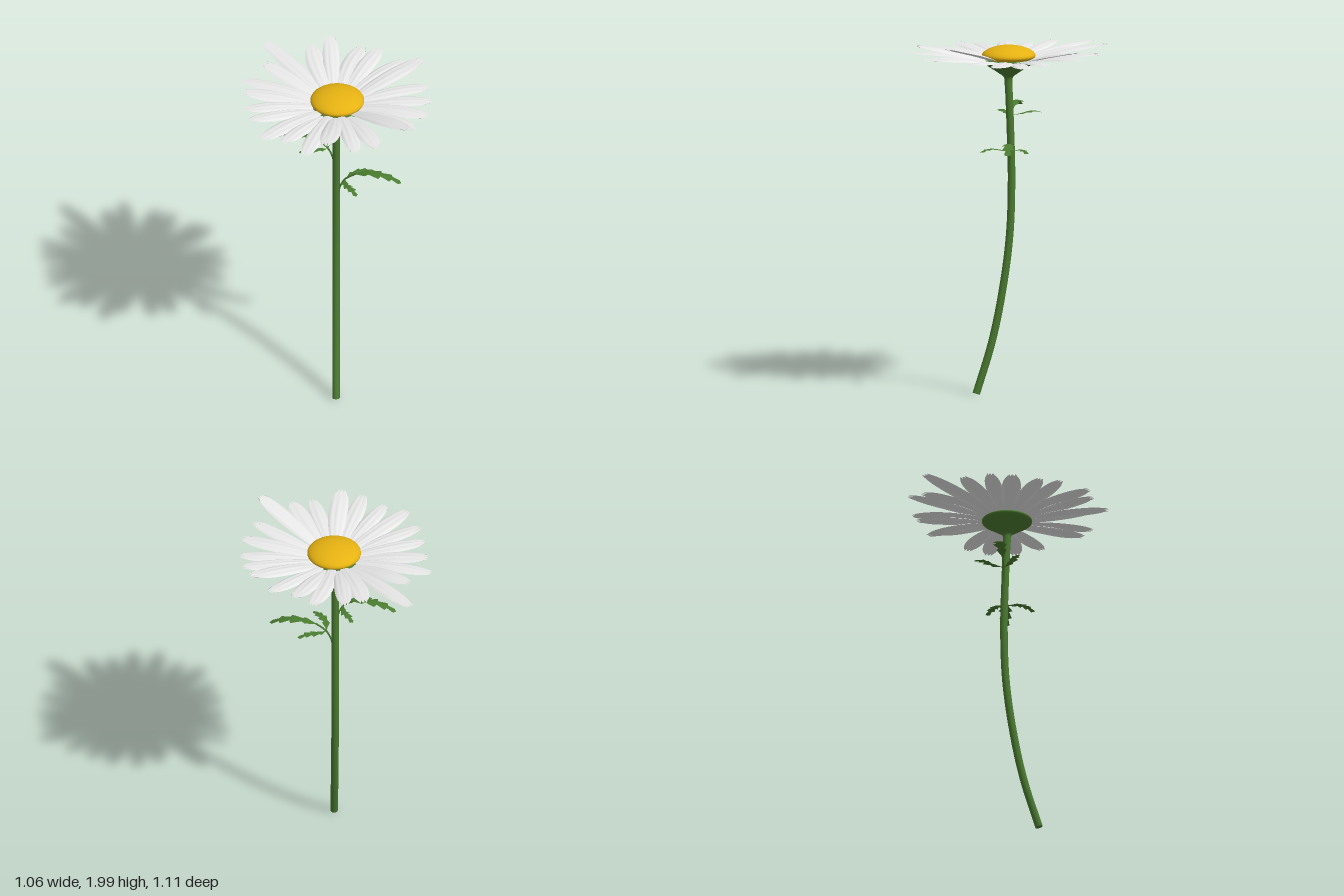
import * as THREE from 'three';

const V = (x, y, z) => new THREE.Vector3(x, y, z);
const flat = (name, color, side = THREE.FrontSide) => {
  const m = new THREE.MeshStandardMaterial({ color, side });
  m.name = name;
  return m;
};

// Smooth grid surface: at(u, v) returns a point, u along 0..1, v across -1..1
function sheet(rows, cols, at) {
  const pos = [], index = [];
  for (let i = 0; i <= rows; i++)
    for (let j = 0; j <= cols; j++) pos.push(...at(i / rows, (j / cols) * 2 - 1, i, j).toArray());
  for (let i = 0; i < rows; i++)
    for (let j = 0; j < cols; j++) {
      const a = i * (cols + 1) + j, b = a + cols + 1;
      index.push(a, a + 1, b, b, a + 1, b + 1);
    }
  const g = new THREE.BufferGeometry();
  g.setAttribute('position', new THREE.Float32BufferAttribute(pos, 3));
  g.setIndex(index);
  g.computeVertexNormals();
  return g;
}

// Tip of each petal: x, z, height
const TIPS = [
  [-0.40, -0.535, 1.915], [-0.14, -0.495, 1.92], [-0.035, -0.555, 1.945], [0.145, -0.495, 1.91],
  [0.245, -0.45, 1.93], [0.38, -0.36, 1.91], [0.48, -0.29, 1.968], [0.52, -0.11, 1.905],
  [0.53, 0.01, 1.893], [0.51, 0.165, 1.90], [0.44, 0.30, 1.91], [0.405, 0.43, 1.995],
  [0.225, 0.49, 1.91], [0.11, 0.52, 1.90], [-0.06, 0.53, 1.955], [-0.175, 0.55, 1.90],
  [-0.295, 0.44, 1.91], [-0.415, 0.395, 1.90], [-0.48, 0.22, 1.91], [-0.505, 0.10, 1.90],
  [-0.515, -0.06, 1.905], [-0.53, -0.19, 1.893], [-0.40, -0.32, 1.92],
];
const NOTCH = [-0.04, -0.005, -0.005, -0.045, -0.012, 0, -0.012, -0.04, 0, -0.01, -0.04];

function petalGeometry([tx, tz, ty], i) {
  const a = THREE.MathUtils.degToRad(-36.8 + (i * 360) / TIPS.length);
  const dx = Math.sin(a), dz = -Math.cos(a);
  const base = V(dx * 0.1, 0, dz * 0.1 + 0.01);
  const path = new THREE.QuadraticBezierCurve3(base, V(dx * 0.33, 0, dz * 0.33 + 0.005), V(tx, 0, tz));
  const width = 0.05 + 0.004 * Math.sin(i * 2.3);
  const y0 = 1.862 + (i % 2) * 0.007;
  return sheet(18, 10, (u, v, row, j) => {
    const p = path.getPoint(u), t = path.getTangent(u);
    const grow = 0.36 + 0.64 * Math.sin((Math.PI / 2) * Math.min(u / 0.6, 1));
    const taper = Math.sqrt(1 - 0.78 * Math.max(0, (u - 0.6) / 0.4) ** 2);
    const w = width * grow * taper * v;
    const tooth = NOTCH[j] * 0.6 * u ** 8;
    const y = y0 + (ty - y0) * u + 0.016 * Math.sin(Math.PI * u)
      + Math.sin(Math.PI * u) * (0.0025 * Math.cos(3 * Math.PI * v) - 0.009 * v * v);
    return V(p.x - t.z * w + t.x * tooth, y, p.z + t.x * w + t.z * tooth);
  });
}

// Toothed leaf blade following a curve, folded slightly along its midrib
const LOBES = [0.004, 0.008, 0.03, 0.016, 0.04, 0.018, 0.034, 0.014, 0.02, 0.0005];
function bladeGeometry(points, scale) {
  const path = new THREE.CatmullRomCurve3(points);
  return sheet(LOBES.length - 1, 2, (u, v, i) => {
    const p = path.getPoint(u), t = path.getTangent(u);
    const side = V(-t.z, 0, t.x).normalize();
    const w = LOBES[i] * scale;
    const sweep = i % 2 === 0 ? Math.abs(v) * w * 0.6 : 0;
    return p.addScaledVector(side, w * v).addScaledVector(t, sweep).add(V(0, -0.2 * w * Math.abs(v), 0));
  });
}

export function createModel() {
  const white = flat('petal white', 0xe8e8e8, THREE.DoubleSide);
  const yellow = flat('disc yellow', 0xe6b212);
  const green = flat('stem green', 0x4a7a30);
  const leafGreen = flat('leaf green', 0x4a7c30, THREE.DoubleSide);

  const flower = new THREE.Group();
  flower.name = 'flower';
  const add = (parent, name, geometry, material) => {
    const mesh = new THREE.Mesh(geometry, material);
    mesh.name = name;
    parent.add(mesh);
    return mesh;
  };
  const lathe = (pts) =>
    new THREE.LatheGeometry(new THREE.SplineCurve(pts.map((p) => new THREE.Vector2(...p))).getPoints(24), 40);

  // Curved stem with a closed cut end
  const stemPath = new THREE.CatmullRomCurve3([
    V(0, 0.008, 0.192), V(0, 0.3, 0.103), V(0, 0.6, 0.042), V(0, 0.9, 0.004),
    V(0, 1.2, -0.006), V(0, 1.5, 0.001), V(0, 1.8, 0.013),
  ]);
  add(flower, 'stem', new THREE.TubeGeometry(stemPath, 48, 0.021, 14), green);
  const cut = add(flower, 'stemEnd', new THREE.CircleGeometry(0.021, 14), green);
  cut.position.copy(stemPath.getPoint(0));
  cut.quaternion.setFromUnitVectors(V(0, 0, 1), stemPath.getTangent(0).negate());

  // Green cup under the petals
  const calyx = add(flower, 'calyx', lathe([
    [0.021, 1.73], [0.025, 1.775], [0.055, 1.80], [0.1, 1.83], [0.138, 1.856], [0.13, 1.872], [0.08, 1.88],
  ]), green);
  calyx.position.set(0.003, 0, 0.012);

  // Domed yellow centre
  const disc = add(flower, 'disc', lathe([
    [0.11, 1.875], [0.14, 1.885], [0.149, 1.9], [0.138, 1.918], [0.105, 1.937], [0.055, 1.951], [0, 1.956],
  ]), yellow);
  disc.position.set(0.006, 0, 0.011);

  // Ring of petals
  const petals = new THREE.Group();
  petals.name = 'petals';
  flower.add(petals);
  TIPS.forEach((tip, i) => add(petals, 'petal', petalGeometry(tip, i), white));

  // Two leaves, each a thin stalk with three toothed leaflets
  const makeLeaf = (name, y, turn, size) => {
    const leaf = new THREE.Group();
    leaf.name = name;
    const stalk = new THREE.CatmullRomCurve3([
      V(0.012, -0.02, 0), V(0.022, 0.04, 0), V(0.05, 0.095, 0), V(0.11, 0.14, 0),
    ]);
    add(leaf, 'leafStalk', new THREE.TubeGeometry(stalk, 14, 0.005, 6), leafGreen);
    add(leaf, 'mainLeaflet', bladeGeometry(
      [V(0.09, 0.13, 0), V(0.16, 0.155, 0), V(0.24, 0.16, 0), V(0.31, 0.145, 0), V(0.37, 0.115, 0)], 1), leafGreen);
    for (const angle of [-28, 47]) {
      const c = Math.cos(THREE.MathUtils.degToRad(angle)), s = Math.sin(THREE.MathUtils.degToRad(angle));
      add(leaf, 'sideLeaflet', bladeGeometry(
        [V(0.05, 0.095, 0), V(0.1 * c, 0.112, 0.1 * s), V(0.16 * c, 0.118, 0.16 * s), V(0.22 * c, 0.103, 0.22 * s)],
        0.72), leafGreen);
    }
    leaf.position.set(0, y, 0);
    leaf.rotation.y = THREE.MathUtils.degToRad(-turn);
    leaf.scale.setScalar(size);
    flower.add(leaf);
  };
  makeLeaf('lowerLeaf', 1.27, 12, 1);
  makeLeaf('upperLeaf', 1.465, 198, 0.95);

  return flower;
}
